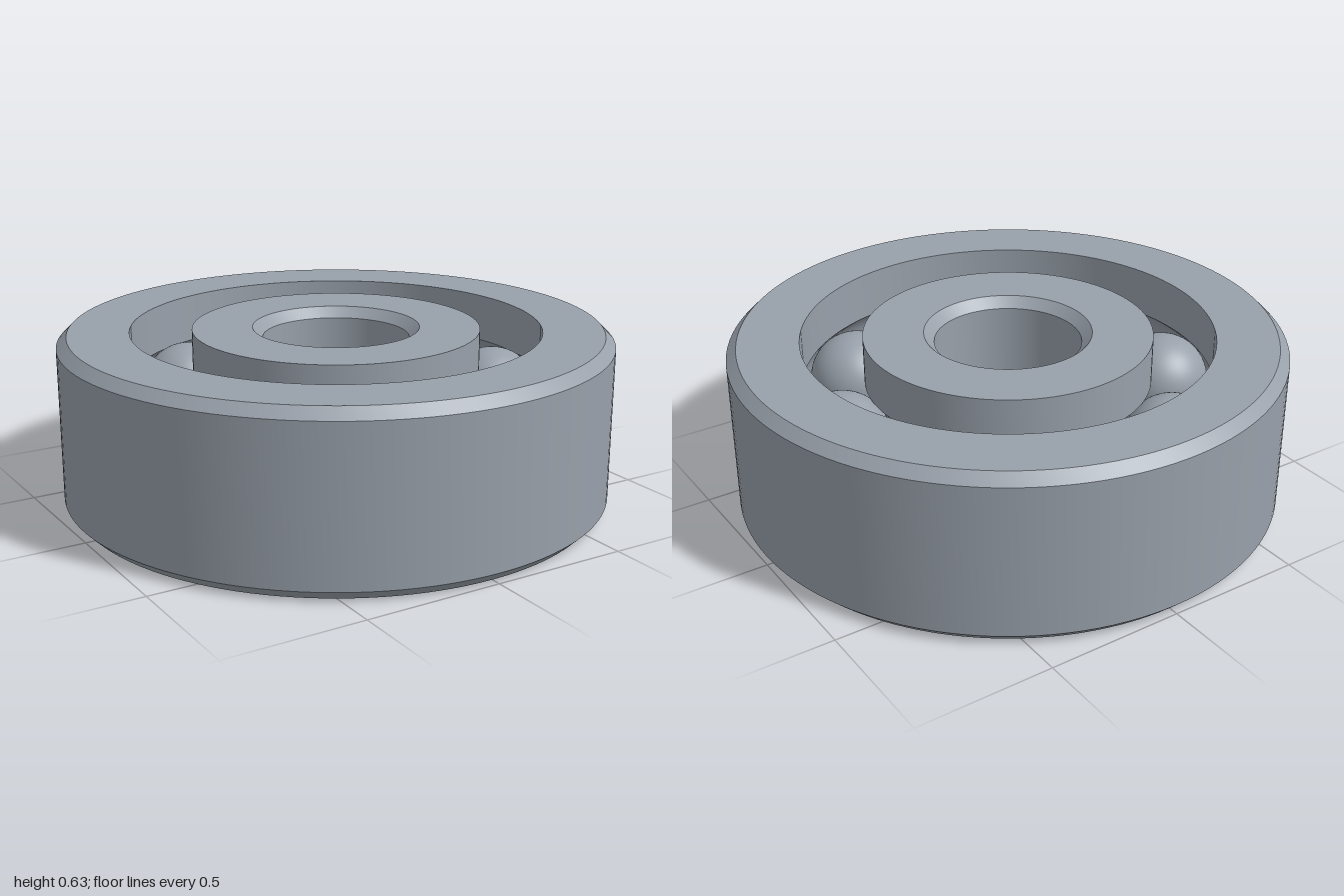
import * as THREE from 'three';
import { toCreasedNormals } from 'three/addons/utils/BufferGeometryUtils.js';

const HEIGHT = 0.63, MID = HEIGHT / 2, CHAMFER = 0.037;
const PITCH = 0.63, BALL = 0.175, GROOVE = 0.177;
const OUTER = 1, OUTER_BORE = 0.742, INNER = 0.52, BORE = 0.265;

// Arc of the ball track, listed from startY side to the other
function groove(wallRadius, upward) {
  const side = Math.sign(wallRadius - PITCH);
  const half = Math.acos(Math.abs(wallRadius - PITCH) / GROOVE);
  const points = [];
  for (let i = 0; i <= 16; i++) {
    const a = (upward ? 1 : -1) * half * (i / 8 - 1);
    points.push([PITCH + side * GROOVE * Math.cos(a), MID + GROOVE * Math.sin(a)]);
  }
  return points;
}

// Closed counter-clockwise profile spun into a sharp-edged ring
function ring(name, profile, material) {
  const points = [...profile, profile[0]].map(([r, y]) => new THREE.Vector2(r, y));
  const geometry = toCreasedNormals(new THREE.LatheGeometry(points, 128), 0.5);
  const mesh = new THREE.Mesh(geometry, material);
  mesh.name = name;
  return mesh;
}

export function createModel() {
  const steel = new THREE.MeshStandardMaterial({ color: 0x98a0aa });
  steel.name = 'steel';
  const model = new THREE.Group();
  model.name = 'ballBearing';

  // Outer race: chamfered outside, track on the inside
  model.add(ring('outerRace', [
    [OUTER_BORE, 0], [OUTER - CHAMFER, 0], [OUTER, CHAMFER],
    [OUTER, HEIGHT - CHAMFER], [OUTER - CHAMFER, HEIGHT], [OUTER_BORE, HEIGHT],
    ...groove(OUTER_BORE, false),
  ], steel));

  // Inner race: track on the outside, chamfered bore
  model.add(ring('innerRace', [
    [BORE + CHAMFER, 0], [INNER, 0],
    ...groove(INNER, true),
    [INNER, HEIGHT], [BORE + CHAMFER, HEIGHT],
    [BORE, HEIGHT - CHAMFER], [BORE, CHAMFER],
  ], steel));

  // Eight balls evenly spaced around the track
  const balls = new THREE.Group();
  balls.name = 'balls';
  const ballGeometry = new THREE.SphereGeometry(BALL, 48, 32);
  for (let i = 0; i < 8; i++) {
    const a = THREE.MathUtils.degToRad(12 + i * 45);
    const ball = new THREE.Mesh(ballGeometry, steel);
    ball.name = `ball${i + 1}`;
    ball.position.set(PITCH * Math.cos(a), MID, PITCH * Math.sin(a));
    balls.add(ball);
  }
  model.add(balls);
  return model;
}
